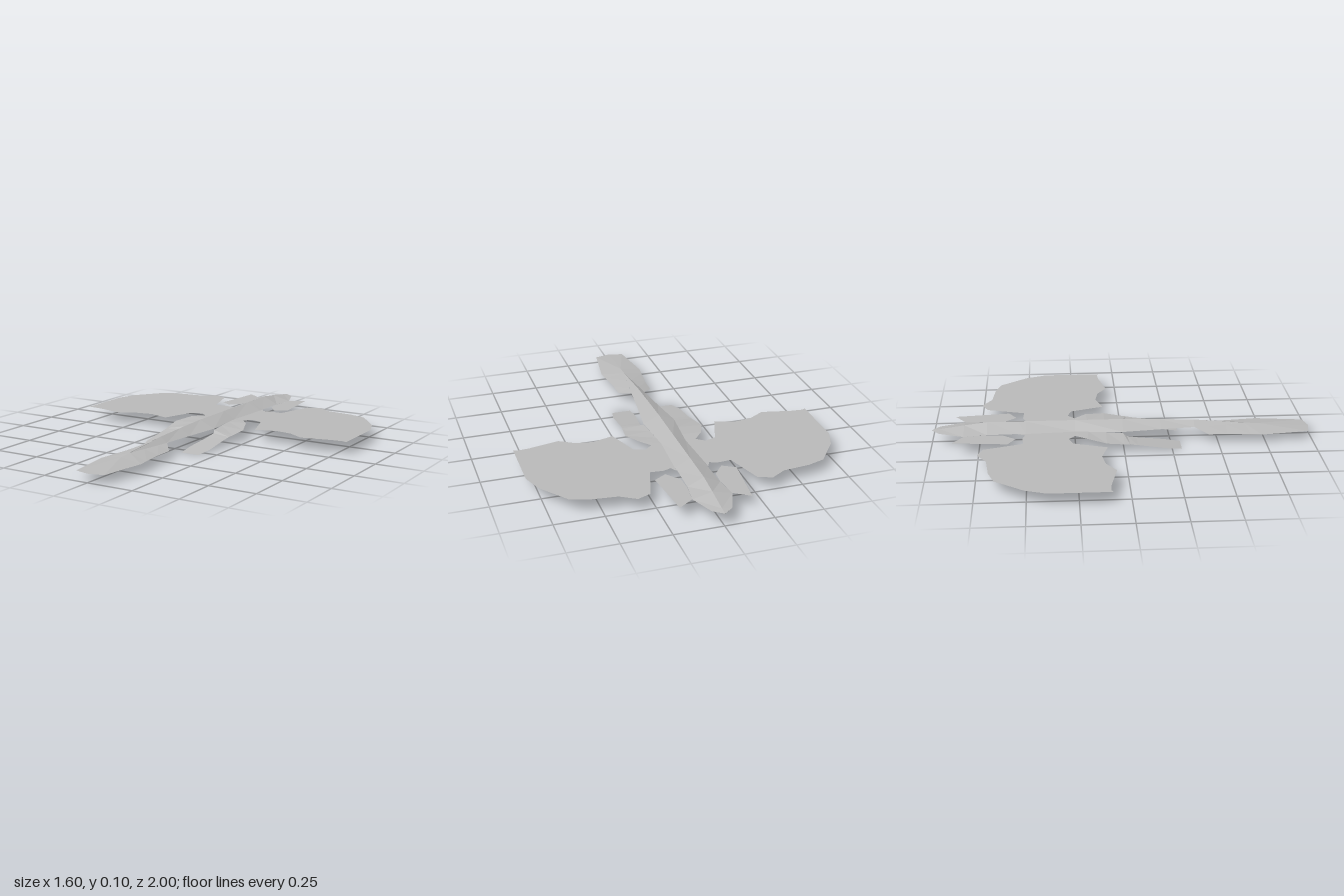
import * as THREE from 'three';

const skin = new THREE.MeshStandardMaterial({ color: 0xb8b8b8, side: THREE.DoubleSide, flatShading: true });
skin.name = 'grey skin';

const WING_Y = 0.065;

// Flat plate at wing height from [x, z] points, mirrored by side
function plate(name, points, side) {
  const shape = new THREE.Shape(points.map(([x, z]) => new THREE.Vector2(x * side, -z)));
  const geo = new THREE.ShapeGeometry(shape).rotateX(-Math.PI / 2).translate(0, WING_Y, 0);
  const mesh = new THREE.Mesh(geo, skin);
  mesh.name = name;
  return mesh;
}

// Folded sheet between an inner and an outer line of [x, y, z] points
function strip(name, inner, outer, side) {
  const pos = [];
  const tri = (a, b, c) => {
    for (const p of side > 0 ? [a, b, c] : [a, c, b]) pos.push(p[0] * side, p[1], p[2]);
  };
  for (let i = 0; i + 1 < inner.length; i++) {
    tri(inner[i], inner[i + 1], outer[i + 1]);
    tri(inner[i], outer[i + 1], outer[i]);
  }
  const geo = new THREE.BufferGeometry();
  geo.setAttribute('position', new THREE.Float32BufferAttribute(pos, 3));
  geo.computeVertexNormals();
  const mesh = new THREE.Mesh(geo, skin);
  mesh.name = name;
  return mesh;
}

// Body rows: z, half width, edge height, ridge height
const bodyRows = [
  [-1, 0, 0.065, 0.066], [-0.96, 0.05, 0.065, 0.071], [-0.83, 0.1, 0.065, 0.089],
  [-0.71, 0.083, 0.065, 0.104], [-0.55, 0.078, 0.065, 0.104], [-0.51, 0.08, 0.065, 0.104],
  [-0.25, 0.065, 0.065, 0.104], [0, 0.085, 0.065, 0.104], [0.2, 0.058, 0.064, 0.098],
  [0.38, 0.037, 0.063, 0.091], [0.65, 0, 0.066, 0.068],
];
const ridge = bodyRows.map(([z, , , top]) => [0, top, z]);
const edge = bodyRows.map(([z, x, y]) => [x, y, z]);

const wing = [
  [0.08, -0.55], [0.1, -0.51], [0.14, -0.525], [0.21, -0.52], [0.27, -0.72], [0.34, -0.75],
  [0.42, -0.7], [0.56, -0.685], [0.65, -0.655], [0.76, -0.51], [0.8, -0.4], [0.8, -0.09],
  [0.78, -0.1], [0.72, -0.095], [0.56, -0.06], [0.48, -0.11], [0.39, -0.125], [0.28, -0.09],
  [0.22, -0.265], [0.16, -0.285], [0.12, -0.25], [0.065, -0.25], [0.08, -0.51],
];

const headFin = [
  [0.1, -0.83], [0.18, -0.885], [0.21, -0.6], [0.145, -0.56], [0.09, -0.63], [0.085, -0.71],
];

// Hind limb slopes down to the ground behind the wing
const limbInner = [
  [0.065, 0.065, -0.25], [0.07, 0.065, -0.18], [0.078, 0.063, -0.09], [0.085, 0.058, 0],
  [0.094, 0.045, 0.02], [0.086, 0.034, 0.07], [0.069, 0.013, 0.21], [0.07, 0, 0.3],
];
const limbOuter = [
  [0.12, 0.065, -0.25], [0.17, 0.067, -0.19], [0.21, 0.055, -0.09], [0.198, 0.043, 0],
  [0.193, 0.04, 0.03], [0.19, 0.034, 0.07], [0.19, 0.012, 0.22], [0.17, 0, 0.3],
];

// Tail vane flares from the body and flattens at the end
const tailInner = [
  [0.037, 0.063, 0.38], [0.028, 0.064, 0.45], [0.014, 0.065, 0.55], [0, 0.066, 0.65],
  [0, 0.062, 0.73], [0, 0.043, 0.997],
];
const tailOuter = [
  [0.037, 0.063, 0.38], [0.093, 0.043, 0.45], [0.095, 0.043, 0.55], [0.108, 0.043, 0.67],
  [0.115, 0.043, 0.73], [0.08, 0.043, 0.978],
];

export function createModel() {
  const model = new THREE.Group();
  model.name = 'winged creature';
  for (const [label, side] of [['left', 1], ['right', -1]]) {
    const half = new THREE.Group();
    half.name = label + 'Half';
    half.add(
      strip(label + 'Body', ridge, edge, side),
      plate(label + 'Wing', wing, side),
      plate(label + 'HeadFin', headFin, side),
      strip(label + 'HindLimb', limbInner, limbOuter, side),
      strip(label + 'Tail', tailInner, tailOuter, side),
    );
    model.add(half);
  }
  return model;
}
